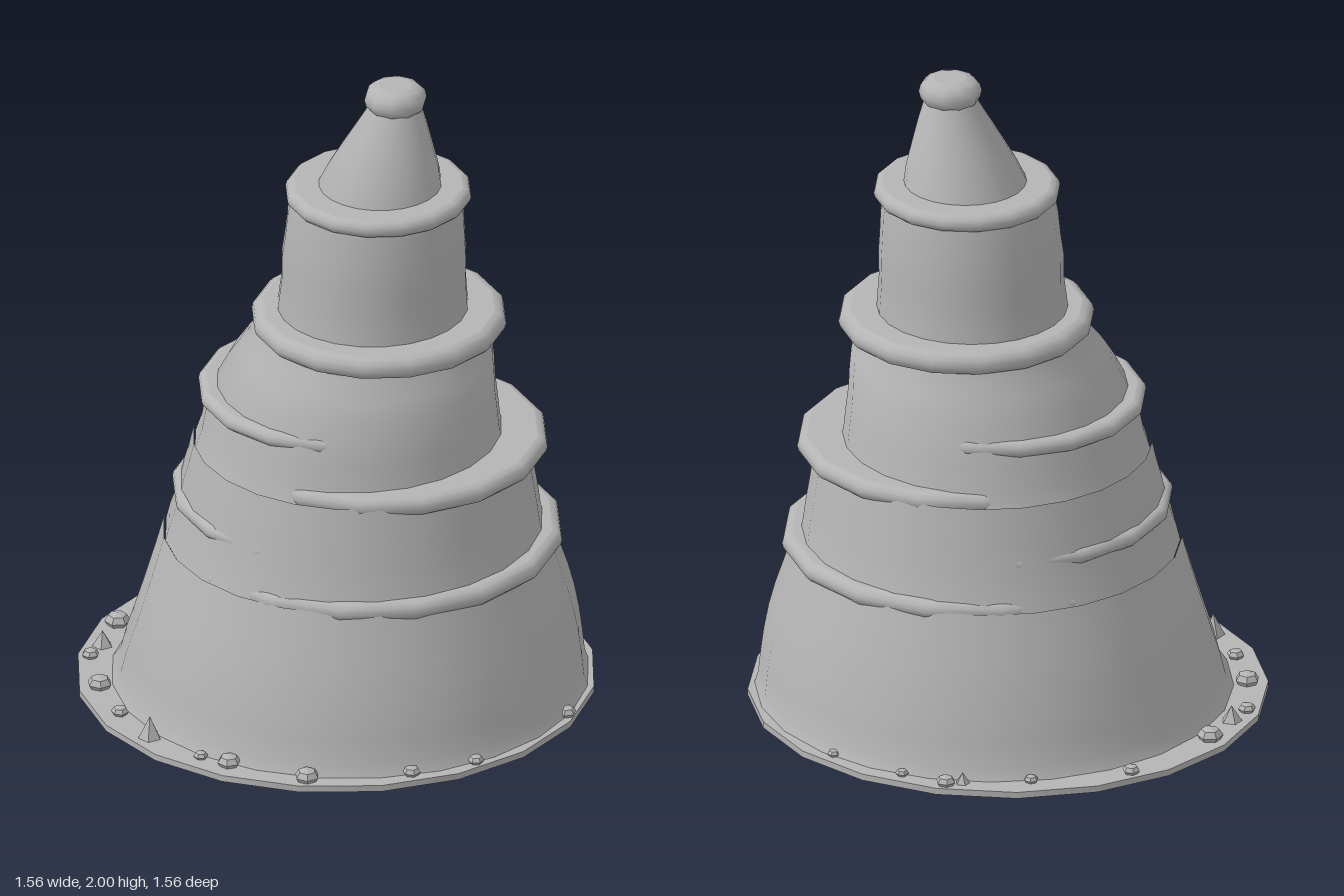
import * as THREE from 'three';

const stone = new THREE.MeshStandardMaterial({ color: 0xb4b4b4 });
stone.name = 'greyStone';

function add(group, name, geometry, x = 0, y = 0, z = 0) {
  const mesh = new THREE.Mesh(geometry, stone);
  mesh.name = name;
  mesh.position.set(x, y, z);
  group.add(mesh);
  return mesh;
}

// Lathe of [height, radius, centreX] rows, each ring slid sideways to its own centre
function leaningLathe(rows, sides) {
  const geo = new THREE.LatheGeometry(rows.map(([y, r]) => new THREE.Vector2(r, y)), sides);
  const pos = geo.attributes.position;
  for (let i = 0; i < pos.count; i++) pos.setX(i, pos.getX(i) + rows[i % rows.length][2]);
  return geo;
}

// Flat disc with a rounded rim; doubled points keep the flat faces crisp
function ledge(bottom, top, radius, sides) {
  const h = (top - bottom) / 2, mid = (top + bottom) / 2;
  const inner = radius - h;
  const pts = [new THREE.Vector2(0, bottom), new THREE.Vector2(inner, bottom)];
  for (let i = 0; i <= 6; i++) {
    const a = -Math.PI / 2 + (i / 6) * Math.PI;
    pts.push(new THREE.Vector2(inner + Math.cos(a) * h, mid + Math.sin(a) * h));
  }
  pts.push(new THREE.Vector2(inner, top), new THREE.Vector2(0, top));
  return new THREE.LatheGeometry(pts, sides);
}

export function createModel() {
  const model = new THREE.Group();
  model.name = 'spiralTower';

  // Ground plate
  add(model, 'basePlate', new THREE.CylinderGeometry(0.78, 0.78, 0.02, 20), 0, 0.015, 0);
  add(model, 'baseUnderside', new THREE.CylinderGeometry(0.3, 0.2, 0.01, 20), 0, 0.005, 0);

  // Leaning tiers of the tower: height, radius, centre x
  const tiers = [
    ['lowerTier', [[0.02, 0.72, 0.042], [0.06, 0.70, 0.05], [0.13, 0.688, 0.055], [0.2, 0.672, 0.062],
      [0.28, 0.652, 0.067], [0.35, 0.632, 0.068], [0.43, 0.607, 0.066], [0.51, 0.583, 0.064]]],
    ['secondTier', [[0.5, 0.574, 0.06], [0.55, 0.56, 0.058], [0.62, 0.543, 0.066],
      [0.7, 0.528, 0.068], [0.76, 0.515, 0.072], [0.82, 0.503, 0.074]]],
    ['thirdTier', [[0.8, 0.47, 0.045], [0.86, 0.45, 0.045], [0.93, 0.44, 0.048], [1.0, 0.42, 0.06],
      [1.06, 0.403, 0.075], [1.12, 0.38, 0.093], [1.17, 0.352, 0.112], [1.22, 0.338, 0.125]]],
    ['fourthTier', [[1.22, 0.29, 0.11], [1.29, 0.284, 0.112], [1.36, 0.277, 0.114], [1.43, 0.278, 0.115],
      [1.5, 0.271, 0.118], [1.57, 0.266, 0.12], [1.64, 0.255, 0.122]]],
    ['spire', [[1.65, 0.19, 0.13], [1.72, 0.168, 0.143], [1.8, 0.135, 0.157], [1.87, 0.105, 0.17],
      [1.92, 0.083, 0.178], [1.95, 0.07, 0.18]]],
  ];
  for (const [name, rows] of tiers) add(model, name, leaningLathe(rows, 24));

  // Offset ledges that slip in and out of the tower wall: bottom, top, radius, centre x
  const ledges = [
    [0.48, 0.54, 0.592, 0.092], [0.62, 0.67, 0.52, 0.025], [0.79, 0.85, 0.5, 0.14],
    [0.955, 1.005, 0.426, 0.01], [1.19, 1.26, 0.385, 0.13], [1.615, 1.668, 0.281, 0.128],
  ];
  ledges.forEach(([b, t, r, x], i) => add(model, 'ledge' + (i + 1), ledge(b, t, r, 16), x));

  // Rounded finial
  add(model, 'finial', ledge(1.912, 2.0, 0.095, 10), 0.18);

  // Pebbles and spikes around the plate: x, z, radius
  const pebbles = [
    [-0.53, -0.51, 0.027], [-0.69, -0.21, 0.04], [-0.74, 0.015, 0.027], [-0.685, 0.21, 0.038],
    [-0.6, 0.38, 0.027], [-0.32, 0.635, 0.022], [-0.23, 0.67, 0.036], [0.015, 0.735, 0.038],
    [0.32, 0.655, 0.028], [0.5, 0.55, 0.025], [0.725, 0.2, 0.03], [-0.26, -0.655, 0.022],
    [-0.02, -0.745, 0.03], [0.125, -0.715, 0.02], [0.36, -0.635, 0.02],
  ];
  const pebbleShape = new THREE.SphereGeometry(1, 6, 4).toNonIndexed();
  pebbleShape.computeVertexNormals();
  pebbles.forEach(([x, z, r], i) => {
    const p = add(model, 'pebble' + (i + 1), pebbleShape, x, 0.025 + r * 0.35, z);
    p.scale.set(r, r * 0.65, r);
    p.rotation.y = i * 1.3;
  });
  const spikes = [[-0.49, 0.52, 0.038, 0.075], [-0.715, -0.065, 0.035, 0.055], [-0.065, -0.72, 0.025, 0.04]];
  spikes.forEach(([x, z, r, h], i) => {
    const geo = new THREE.ConeGeometry(r, h, 5).toNonIndexed();
    geo.computeVertexNormals();
    add(model, 'spike' + (i + 1), geo, x, 0.02 + h / 2, z);
  });

  return model;
}
